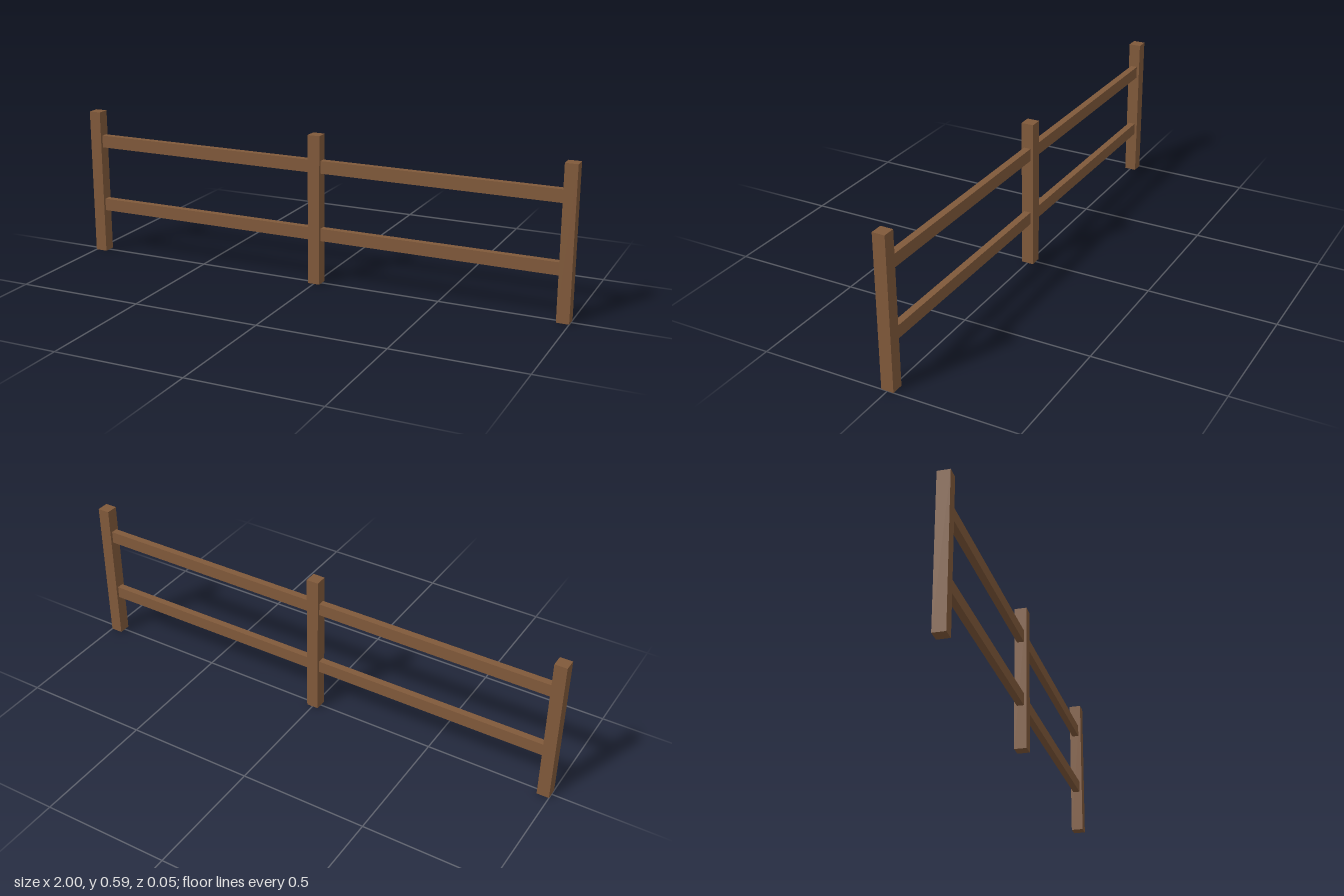
import * as THREE from 'three';

export function createModel() {
  const group = new THREE.Group();
  group.name = 'fence';
  const wood = new THREE.MeshStandardMaterial({ color: 0x80593a });
  wood.name = 'brown wood';

  const POST = 0.048, HEIGHT = 0.586, SPACING = 0.976;
  const RAIL_HEIGHT = 0.049, RAIL_DEPTH = 0.027;

  function addBox(name, size, position) {
    const mesh = new THREE.Mesh(new THREE.BoxGeometry(...size), wood);
    mesh.name = name;
    mesh.position.set(...position);
    group.add(mesh);
  }

  // Three upright square posts
  [['rightPost', -SPACING], ['middlePost', 0], ['leftPost', SPACING]].forEach(([name, x]) =>
    addBox(name, [POST, HEIGHT, POST], [x, HEIGHT / 2, 0]));

  // Two rails in each bay, fitted between the posts
  for (const [side, sign] of [['Right', -1], ['Left', 1]]) {
    for (const [level, y] of [['lower', 0.198], ['upper', 0.464]]) {
      addBox(`${level}${side}Rail`, [SPACING - POST, RAIL_HEIGHT, RAIL_DEPTH], [sign * SPACING / 2, y, 0]);
    }
  }
  return group;
}
